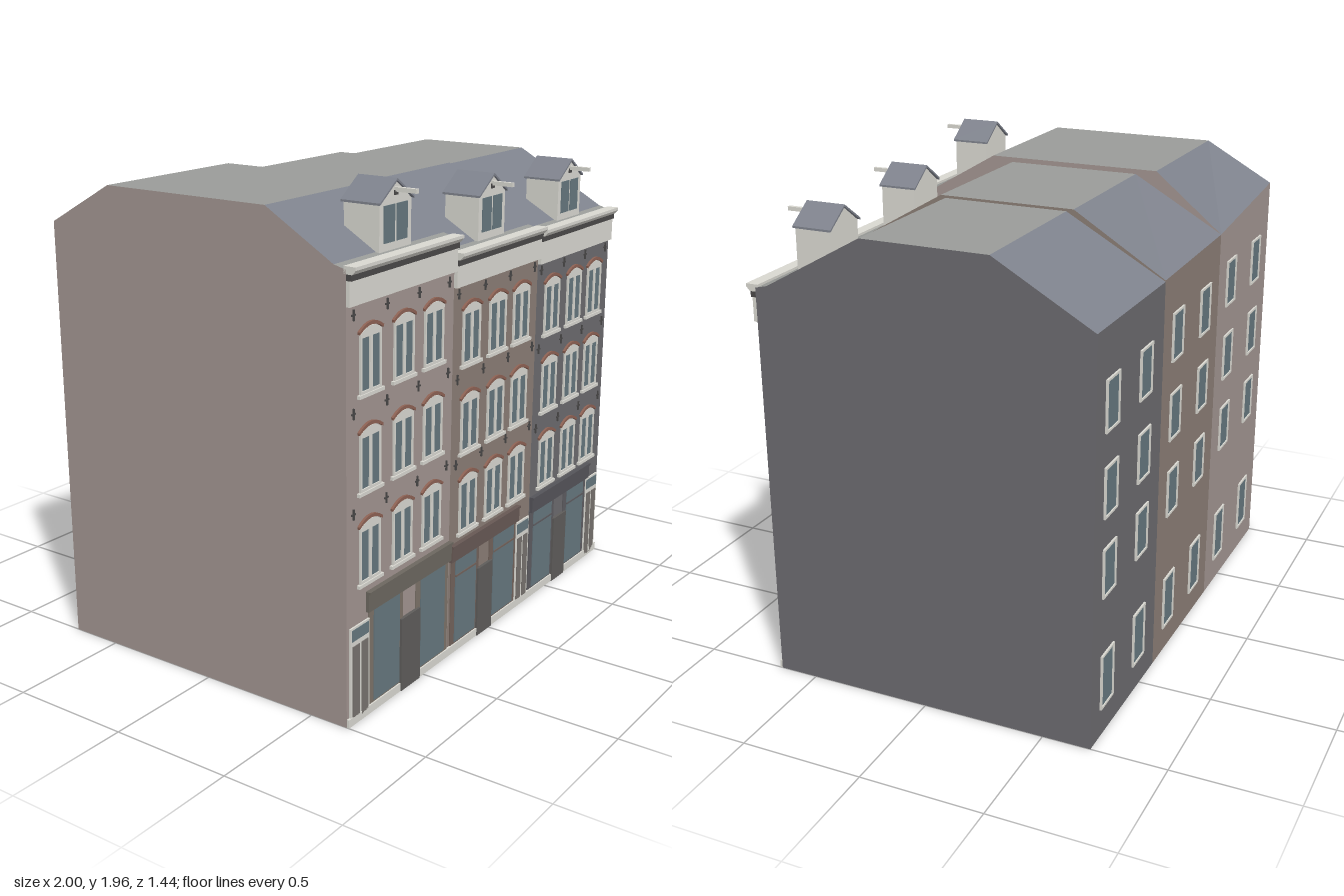
import * as THREE from 'three';

const mat = (color, side = THREE.FrontSide) => {
  const m = new THREE.MeshStandardMaterial({ color, side });
  m.flatShading = true;
  return m;
};
const WHITE = mat(0xd8d7d0), GLASS = mat(0x65777e), BRICK = mat(0x8c6153), IRON = mat(0x4a4848);
const SLATE = mat(0x7e828c), FLAT = mat(0x999b98), DOOR = mat(0x5e5c5a), LEAF = mat(0x77726e);
const FRONT = 0.66;
const backZ = x => -0.705 + 0.01 * x;

// One entry per house, left to right along x
const houses = [
  { x0: -1, x1: -0.31, wall: 0xa19490, shop: 0x7b7268, fascia: 0x6c675f,
    eave: 1.715, ridge: 1.885, zf: 0.32, zb: -0.42, backEave: [1.72, 1.65], cornice: 1.575,
    cols: [-0.86, -0.65, -0.45], rows: [1.25, 0.89, 0.54], anchorX: [-0.96, -0.755, -0.55, -0.345], anchorY: [1.54, 1.19, 0.82],
    sign: [-0.88, -0.31, 0.415, 0.495], panes: [[-0.835, -0.665], [-0.52, -0.345]], door: [-0.66, -0.53], side: [-0.985, -0.865],
    dormer: -0.652, dormerY: 1.73, backCols: [-0.82, -0.47], backRows: [0.11, 0.65, 0.98, 1.31] },
  { x0: -0.31, x1: 0.345, wall: 0x8a7d75, shop: 0x71625b, fascia: 0x675854,
    eave: 1.645, ridge: 1.865, zf: 0.23, zb: -0.33, backEave: [1.65, 1.635], cornice: 1.51,
    cols: [-0.18, 0.02, 0.21], rows: [1.195, 0.84, 0.505], anchorX: [-0.275, -0.08, 0.115, 0.315], anchorY: [1.48, 1.145, 0.80],
    sign: [-0.305, 0.235, 0.40, 0.47], panes: [[-0.265, -0.105], [0.035, 0.205]], door: [-0.095, 0.02], side: [0.225, 0.335],
    transom: true, dormer: 0.02, dormerY: 1.665, backCols: [-0.135, 0.19], backRows: [0.11, 0.62, 0.95, 1.28] },
  { x0: 0.345, x1: 1, wall: 0x6b6a6e, shop: 0x5d5c60, fascia: 0x545359,
    eave: 1.63, ridge: 1.855, zf: 0.21, zb: -0.30, backEave: [1.63, 1.63], cornice: 1.485,
    cols: [0.475, 0.675, 0.865], rows: [1.175, 0.835, 0.495], anchorX: [0.375, 0.575, 0.77, 0.965], anchorY: [1.455, 1.12, 0.77],
    sign: [0.35, 0.89, 0.395, 0.465], panes: [[0.38, 0.545], [0.69, 0.85]], door: [0.56, 0.675], side: [0.875, 0.988],
    transom: true, dormer: 0.67, dormerY: 1.645, backCols: [0.53, 0.855], backRows: [0.12, 0.59, 0.91, 1.24] },
];

function add(parent, name, geo, material) {
  const m = new THREE.Mesh(geo, material);
  m.name = name;
  parent.add(m);
  return m;
}
function box(parent, name, material, x0, x1, y0, y1, z0, z1) {
  const m = add(parent, name, new THREE.BoxGeometry(x1 - x0, y1 - y0, z1 - z0), material);
  m.position.set((x0 + x1) / 2, (y0 + y1) / 2, (z0 + z1) / 2);
  return m;
}
function group(parent, name) {
  const g = new THREE.Group();
  g.name = name;
  parent.add(g);
  return g;
}
const poly = pts => new THREE.Shape(pts.map(p => new THREE.Vector2(...p)));
const rectPath = (x0, x1, y0, y1) => new THREE.Path([[x0, y0], [x1, y0], [x1, y1], [x0, y1]].map(p => new THREE.Vector2(...p)));
const extrude = (shape, depth) => new THREE.ExtrudeGeometry(shape, { depth, bevelEnabled: false, curveSegments: 6 });

// Segmental arch outline from (-w, y) over the crown to (w, y)
const arch = (w, y, rise) => Array.from({ length: 9 }, (_, i) => {
  const t = i / 4 - 1;
  return [w * t, y + rise * (1 - t * t)];
});

// Sash window with arched white head, two tall lights and a brick arch
const frameShape = poly([[-0.064, 0], ...arch(0.064, 0.215, 0.022), [0.064, 0]]);
frameShape.holes.push(rectPath(-0.055, -0.008, 0.01, 0.2), rectPath(0.008, 0.055, 0.01, 0.2));
const frameGeo = extrude(frameShape, 0.008);
const brickGeo = extrude(poly([...arch(0.072, 0.215, 0.024), ...arch(0.074, 0.225, 0.027).reverse()]), 0.01);

function sashWindow(parent, x, y) {
  const g = group(parent, 'sashWindow');
  add(g, 'windowFrame', frameGeo, WHITE);
  add(g, 'brickArch', brickGeo, BRICK);
  box(g, 'glass', GLASS, -0.058, 0.058, 0.005, 0.205, 0, 0.003);
  box(g, 'sill', WHITE, -0.077, 0.077, -0.013, 0, 0, 0.013);
  g.position.set(x, y, FRONT);
}

function backWindow(parent, x, y, h) {
  const g = group(parent, 'backWindow'), w = 0.062;
  const s = poly([[-w, 0], [w, 0], [w, h], [-w, h]]);
  s.holes.push(rectPath(-w + 0.009, w - 0.009, 0.009, h - 0.009));
  add(g, 'backFrame', extrude(s, 0.008), WHITE);
  box(g, 'backGlass', GLASS, -w + 0.005, w - 0.005, 0.005, h - 0.005, 0, 0.003);
  g.rotation.y = Math.PI;
  g.position.set(x, y, backZ(x));
}

// House body lofted between the profiles of its two party walls
function shell(parent, h) {
  const profile = (x, be) => [[0, FRONT], [h.eave - 0.012, FRONT], [h.eave, 0.61], [h.ridge, h.zf], [h.ridge, h.zb], [be, backZ(x)], [0, backZ(x)]]
    .map(([y, z]) => [x, y, z]);
  const L = profile(h.x0, h.backEave[0]), R = profile(h.x1, h.backEave[1]), n = L.length;
  const parts = { walls: [], roofSlopes: [], roofTop: [] };
  const key = ['walls', 'roofTop', 'roofSlopes', 'roofTop', 'roofSlopes', 'walls', 'walls'];
  for (let i = 0; i < n; i++) {
    const j = (i + 1) % n;
    parts[key[i]].push(L[i], R[i], R[j], L[i], R[j], L[j]);
    if (i < n - 2) parts.walls.push(R[n - 1], R[j], R[i], L[n - 1], L[i], L[j]);
  }
  const mats = { walls: mat(h.wall), roofSlopes: SLATE, roofTop: FLAT };
  for (const k in parts) {
    const g = new THREE.BufferGeometry();
    g.setAttribute('position', new THREE.Float32BufferAttribute(parts[k].flat(), 3));
    g.computeVertexNormals();
    add(parent, k, g, mats[k]);
  }
}

// Frieze board, dark shadow strip and moulded gutter
function cornice(parent, h) {
  const e = h.eave, g = group(parent, 'cornice');
  box(g, 'frieze', WHITE, h.x0, h.x1, h.cornice, e - 0.05, FRONT, 0.675);
  box(g, 'shadowStrip', IRON, h.x0, h.x1, e - 0.05, e - 0.028, FRONT, 0.682);
  const gutter = add(g, 'gutter', extrude(poly([[-0.65, e - 0.028], [-0.685, e - 0.028], [-0.7, e - 0.012], [-0.7, e], [-0.65, e]]), h.x1 - h.x0), WHITE);
  gutter.rotation.y = Math.PI / 2;
  gutter.position.x = h.x0;
}

function shopFront(parent, h) {
  const g = group(parent, 'shopFront'), [s0, s1, y0, y1] = h.sign;
  const shop = mat(h.shop), fascia = mat(h.fascia);
  box(g, 'plinth', WHITE, h.x0, h.x1, 0, 0.033, FRONT, 0.67);
  box(g, 'signBoard', fascia, s0, s1, y0, y1, FRONT, 0.674);
  box(g, 'signLedge', fascia, s0, s1, y1 - 0.01, y1, FRONT, 0.68);
  for (const [a, b] of h.panes) {
    box(g, 'shopSurround', shop, a - 0.03, b + 0.025, 0.033, y0, FRONT, 0.664);
    box(g, 'shopGlass', GLASS, a, b, 0.04, y0 - 0.005, FRONT, 0.667);
    if (h.transom) box(g, 'shopTransom', shop, a, b, 0.325, 0.333, FRONT, 0.67);
  }
  box(g, 'shopDoor', DOOR, h.door[0], h.door[1], 0, 0.3, FRONT, 0.673);
  // Narrow house door with two leaves and a fanlight
  const [d0, d1] = h.side, c = (d0 + d1) / 2;
  box(g, 'houseDoorFrame', WHITE, d0, d1, 0, 0.388, FRONT, 0.667);
  box(g, 'fanlight', GLASS, d0 + 0.007, d1 - 0.007, 0.335, 0.38, FRONT, 0.669);
  for (const [a, b] of [[d0 + 0.012, c - 0.007], [c + 0.007, d1 - 0.012]])
    box(g, 'doorLeaf', LEAF, a, b, 0.01, 0.315, FRONT, 0.67);
}

// Gabled dormer with hoisting beam
function dormer(parent, h) {
  const g = group(parent, 'dormer'), w = 0.1, wall = 0.15, apex = 0.222;
  add(g, 'dormerBody', extrude(poly([[-w, -0.02], [w, -0.02], [w, wall], [0, apex], [-w, wall]]), 0.15), WHITE).position.z = 0.474;
  for (const s of [-1, 1])
    box(g, 'dormerGlass', GLASS, s * 0.04 - 0.034, s * 0.04 + 0.034, 0.01, wall - 0.008, 0.6, 0.627);
  const roof = poly([[-0.108, wall - 0.002], [0, apex], [0.108, wall - 0.002], [0.108, wall + 0.006], [0, apex + 0.009], [-0.108, wall + 0.006]]);
  add(g, 'dormerRoof', extrude(roof, 0.167), SLATE).position.z = 0.465;
  box(g, 'hoistHatch', IRON, -0.012, 0.012, 0.172, 0.19, 0.62, 0.628);
  box(g, 'hoistBeam', WHITE, -0.008, 0.008, 0.184, 0.2, 0.6, 0.715);
  g.position.set(h.dormer, h.dormerY, 0);
}

export function createModel() {
  const root = new THREE.Group();
  root.name = 'townhouseRow';
  for (const h of houses) {
    const g = group(root, 'house');
    shell(g, h);
    cornice(g, h);
    shopFront(g, h);
    dormer(g, h);
    for (const x of h.cols) for (const y of h.rows) sashWindow(g, x, y);
    for (const x of h.backCols) h.backRows.forEach((y, i) => backWindow(g, x, y, i ? 0.2 : 0.23));
    // Iron wall anchors
    for (const x of h.anchorX) for (const y of h.anchorY) {
      box(g, 'anchorBar', IRON, x - 0.003, x + 0.003, y - 0.02, y + 0.02, FRONT, 0.666);
      box(g, 'anchorCross', IRON, x - 0.012, x + 0.012, y - 0.003, y + 0.003, FRONT, 0.665);
    }
  }
  return root;
}
